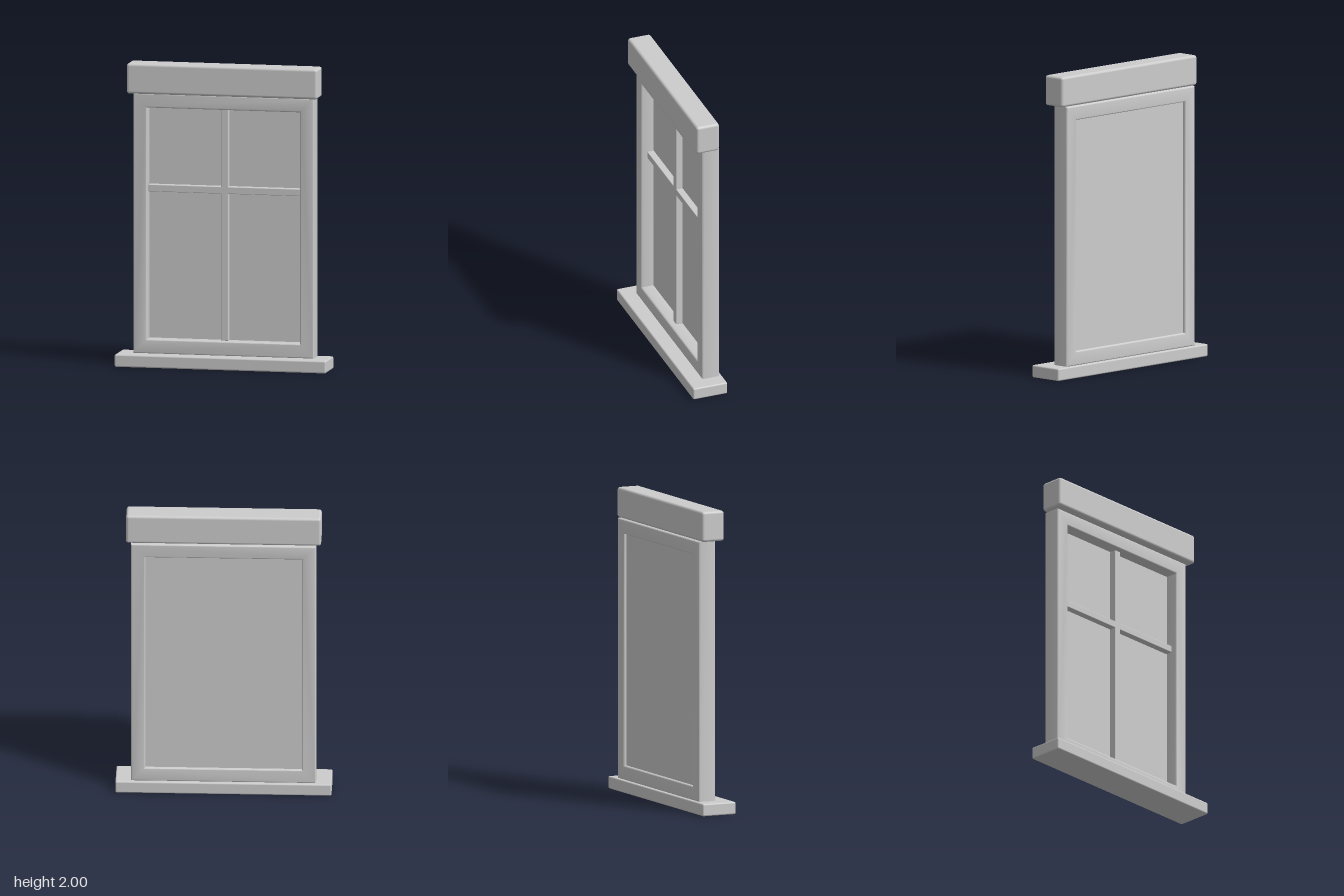
import * as THREE from 'three';
import { RoundedBoxGeometry } from 'three/addons/geometries/RoundedBoxGeometry.js';
import { toCreasedNormals } from 'three/addons/utils/BufferGeometryUtils.js';

const grey = new THREE.MeshStandardMaterial({ color: 0xcccccc });
grey.name = 'grey';

// Rounded block given by its limits on each axis
function block(name, [x0, x1], [y0, y1], [z0, z1], radius) {
  const geometry = new RoundedBoxGeometry(x1 - x0, y1 - y0, z1 - z0, 3, radius);
  const mesh = new THREE.Mesh(geometry, grey);
  mesh.position.set((x0 + x1) / 2, (y0 + y1) / 2, (z0 + z1) / 2);
  mesh.name = name;
  return mesh;
}

// Closed rectangle, symmetric in x
function rectangle(path, halfWidth, y0, y1) {
  path.moveTo(-halfWidth, y0);
  path.lineTo(halfWidth, y0);
  path.lineTo(halfWidth, y1);
  path.lineTo(-halfWidth, y1);
  path.closePath();
  return path;
}

// One-piece surround with softened front and back edges
function windowFrame() {
  const bevel = 0.01;
  const shape = rectangle(new THREE.Shape(), 0.605, 0.08, 1.8);
  shape.holes.push(rectangle(new THREE.Path(), 0.512, 0.175, 1.705));
  const geometry = new THREE.ExtrudeGeometry(shape, {
    depth: 0.12 - 2 * bevel,
    bevelSize: bevel,
    bevelThickness: bevel,
    bevelOffset: -bevel,
    bevelSegments: 3,
  });
  geometry.translate(0, 0, -0.1 + bevel);
  const mesh = new THREE.Mesh(toCreasedNormals(geometry, 0.7), grey);
  mesh.name = 'frame';
  return mesh;
}

export function createModel() {
  const model = new THREE.Group();
  model.name = 'window';

  model.add(
    block('sill', [-0.707, 0.707], [0, 0.082], [-0.12, 0.12], 0.01),
    block('lintel', [-0.638, 0.638], [1.8, 2], [-0.09, 0.07], 0.018),
    windowFrame(),
  );

  // Pane set near the back of the frame
  const pane = new THREE.Mesh(new THREE.BoxGeometry(1.04, 1.55, 0.015), grey);
  pane.position.set(0, 0.94, -0.073);
  pane.name = 'pane';
  model.add(pane);

  // Glazing bars on the front of the pane
  model.add(
    block('verticalBar', [-0.024, 0.024], [0.175, 1.705], [-0.07, -0.02], 0.004),
    block('horizontalBar', [-0.51, 0.51], [1.146, 1.192], [-0.07, -0.02], 0.004),
  );

  return model;
}
